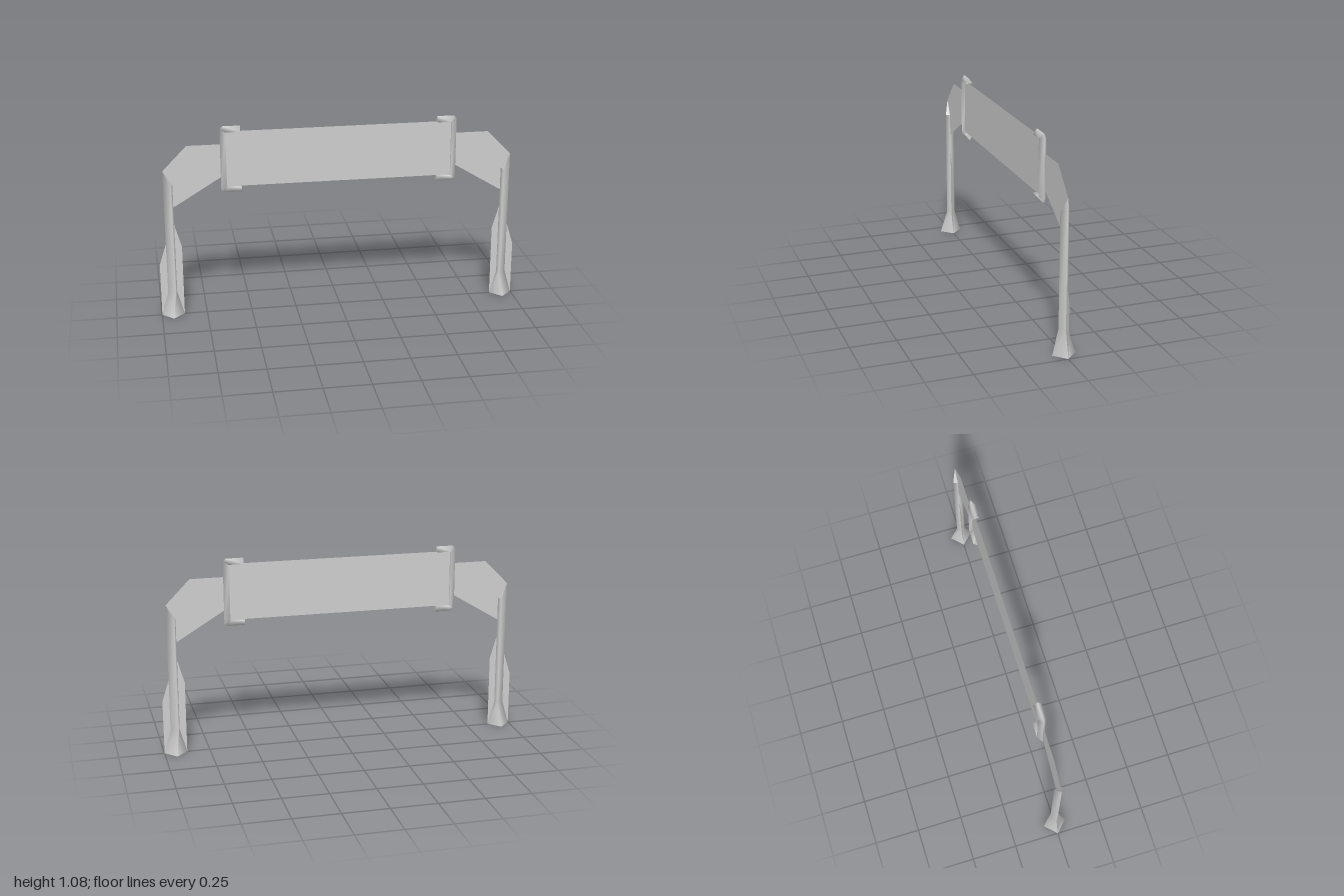
import * as THREE from 'three';

const grey = new THREE.MeshStandardMaterial({ color: 0xcccccc, side: THREE.DoubleSide });
grey.name = 'grey metal';

// Smooth skin through a list of rings, with flat end caps
function loft(rings) {
  const n = rings[0].length;
  const points = rings.flat();
  const index = [];
  for (let i = 0; i < rings.length - 1; i++) {
    for (let j = 0; j < n; j++) {
      const a = i * n + j, b = i * n + (j + 1) % n;
      index.push(a, a + n, b, b, a + n, b + n);
    }
  }
  const first = points.length;
  points.push(...rings[0], ...rings[rings.length - 1]);
  for (let j = 1; j < n - 1; j++) {
    index.push(first, first + j, first + j + 1);
    index.push(first + n, first + n + j + 1, first + n + j);
  }
  const g = new THREE.BufferGeometry();
  g.setAttribute('position', new THREE.Float32BufferAttribute(points.flat(), 3));
  g.setIndex(index);
  g.computeVertexNormals();
  return g;
}

// Flat sheet in the z = 0 plane
function sheet(outline) {
  return new THREE.ShapeGeometry(new THREE.Shape(outline.map(([x, y]) => new THREE.Vector2(x, y))));
}

function add(parent, name, geometry) {
  const mesh = new THREE.Mesh(geometry, grey);
  mesh.name = name;
  parent.add(mesh);
}

function createSide(name) {
  const side = new THREE.Group();
  side.name = name;

  // Post: wide diamond foot, slim shaft, slanted top
  const shaft = (tipY, y) => [[0.962, tipY, 0], [0.922, y, 0.024], [0.912, y, 0], [0.922, y, -0.024]];
  add(side, 'post', loft([
    [[1, 0, 0], [0.9375, 0, 0.063], [0.875, 0, 0], [0.9375, 0, -0.063]],
    shaft(0.135, 0.135),
    shaft(0.84, 0.757),
  ]));

  // Fins on both sides of the lower post
  add(side, 'postFin', sheet([
    [1, 0], [1, 0.3], [0.962, 0.42], [0.912, 0.53], [0.875, 0.4], [0.875, 0],
  ]));

  // Bracket sheet from the post to the clip
  add(side, 'bracket', sheet([
    [0.962, 0.84], [0.83, 0.975], [0.64, 0.975], [0.64, 0.795], [0.912, 0.63], [0.912, 0.757],
  ]));

  // C-shaped clip: triangular section with its tip outward
  const section = ([tx, ty, ix, iy]) => [[tx, ty, 0], [ix, iy, 0.021], [ix, iy, -0.021]];
  const lower = [
    [0.54, 0.702, 0.54, 0.735],
    [0.633, 0.702, 0.618, 0.735],
    [0.65, 0.717, 0.62, 0.737],
  ];
  const upper = lower.map(([tx, ty, ix, iy]) => [tx, 1.777 - ty, ix, 1.78 - iy]).reverse();
  add(side, 'clip', loft([...lower, ...upper].map(section)));
  return side;
}

export function createModel() {
  const model = new THREE.Group();
  model.name = 'signGantry';

  // Main panel between the clips
  add(model, 'panel', sheet([[-0.622, 0.735], [0.622, 0.735], [0.622, 1.045], [-0.622, 1.045]]));

  // Both ends are the same, turned half way round
  const left = createSide('leftSide');
  const right = createSide('rightSide');
  right.rotation.y = Math.PI;
  model.add(left, right);
  return model;
}
